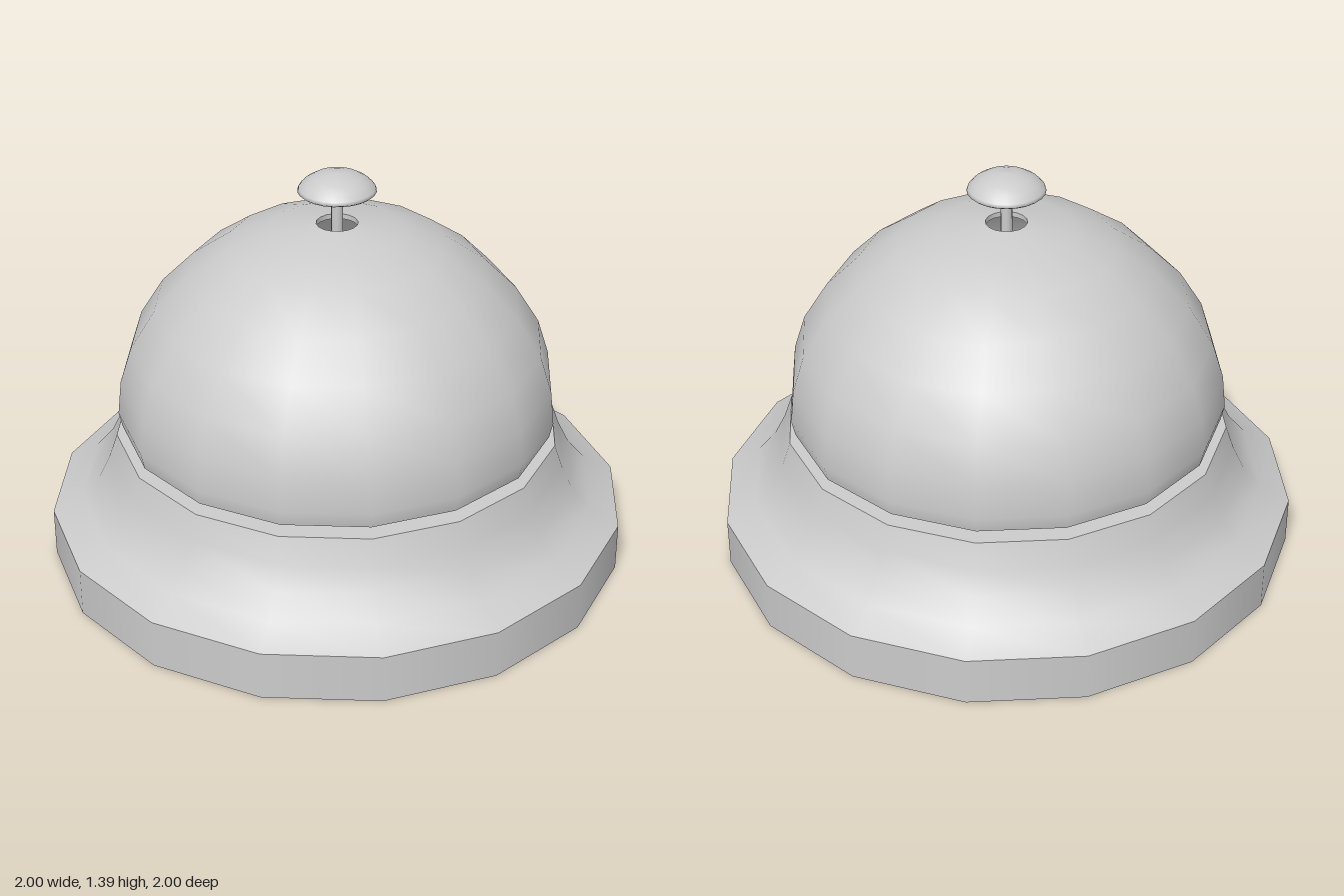
import * as THREE from 'three';
import { mergeGeometries } from 'three/addons/utils/BufferGeometryUtils.js';

const material = new THREE.MeshStandardMaterial({ color: 0xcccccc });

// Lathe made of smooth runs; the edges between runs stay sharp.
// Runs go counter-clockwise around the section: bottom, outside, top, inside.
function turned(name, sides, ...runs) {
  const parts = runs.map(run =>
    new THREE.LatheGeometry(run.map(([r, y]) => new THREE.Vector2(r, y)), sides));
  const mesh = new THREE.Mesh(mergeGeometries(parts), material);
  mesh.name = name;
  return mesh;
}

export function createModel() {
  const bell = new THREE.Group();
  bell.name = 'deskBell';

  // Base: upright plinth, concave flare and flat top
  const flare = [[1, 0.17], [0.895, 0.225], [0.835, 0.295], [0.795, 0.375], [0.765, 0.46]];
  bell.add(turned('base', 16,
    [[0, 0], [1, 0]],
    [[1, 0], [1, 0.17]],
    flare,
    [[0.765, 0.46], [0, 0.46]]));

  // Hub that carries the dome
  bell.add(turned('hub', 16,
    [[0.205, 0.46], [0.205, 0.56]],
    [[0.205, 0.56], [0, 0.56]]));

  // Dome: thin shell with an open hole at the crown
  const outer = [[0.743, 0.49], [0.755, 0.545], [0.742, 0.665], [0.702, 0.79], [0.618, 0.925],
    [0.505, 1.04], [0.37, 1.135], [0.225, 1.187], [0.07, 1.21]];
  const inner = outer.map(([r, y], i) =>
    [i === outer.length - 1 ? r : r * 0.975, i === 0 ? y : y - 0.018]).reverse();
  bell.add(turned('dome', 16,
    outer,
    [outer[outer.length - 1], inner[0]],
    inner,
    [inner[inner.length - 1], outer[0]]));

  // Plunger: stem through the hole with a domed button
  bell.add(turned('stem', 12, [[0.02, 0.5], [0.02, 1.34]]));
  bell.add(turned('button', 24,
    [[0, 1.32], [0.122, 1.32]],
    [[0.122, 1.32], [0.131, 1.327], [0.127, 1.338], [0.108, 1.358], [0.08, 1.375],
      [0.042, 1.387], [0, 1.391]]));

  return bell;
}
